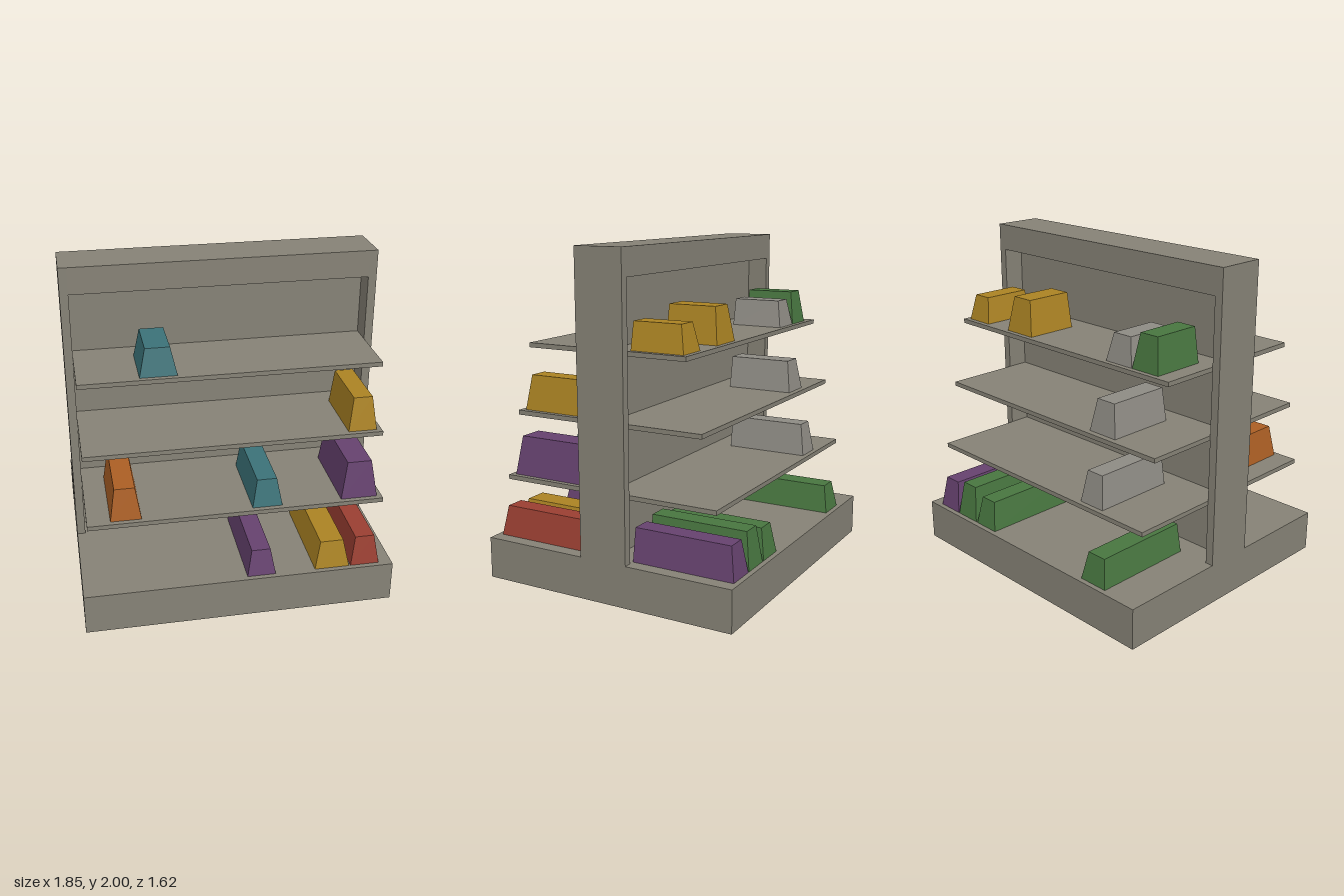
import * as THREE from 'three';

const material = (name, color) =>
  new THREE.MeshStandardMaterial({ name, color, side: THREE.DoubleSide });

export function createModel() {
  const group = new THREE.Group();
  const frame = material('frame grey', 0x868276);
  const colours = {
    teal: material('teal', 0x3b7278),
    gold: material('gold', 0xab8323),
    purple: material('purple', 0x66426f),
    orange: material('orange', 0xab5f24),
    red: material('red', 0x9a3f32),
    green: material('green', 0x487640),
    grey: material('light grey', 0x8e8b84),
  };

  const add = (name, geometry, mat) => {
    const mesh = new THREE.Mesh(geometry, mat);
    mesh.name = name;
    group.add(mesh);
    return mesh;
  };

  // Box by its size, bottom height and x; optionally open underneath
  const box = (name, w, h, d, y, x = 0, open = false) => {
    const g = new THREE.BoxGeometry(w, h, d);
    if (open) {
      const index = Array.from(g.index.array);
      index.splice(18, 6); // the downward face
      g.clearGroups();
      g.setIndex(index);
    }
    g.translate(x, y + h / 2, 0);
    return add(name, g, frame);
  };

  // Hollow plinth and the upright frame with its thin centre panel
  box('base', 1.85, 0.25, 1.62, 0, 0, true);
  for (const [name, s] of [['leftPost', 1], ['rightPost', -1]])
    box(name, 0.05, 2, 0.3, 0, s * 0.9, true);
  box('topRail', 1.75, 0.16, 0.3, 1.84);
  box('centrePanel', 1.75, 1.59, 0.04, 0.25);

  // Shelves get shallower towards the top
  [[0.62, 1.38], [1.02, 1.2], [1.42, 1.01]].forEach(([y, depth], i) =>
    box('shelf' + (i + 1), 1.75, 0.027, depth, y));

  // Goods: blocks narrowing upward on both sides and at the outer end
  const goods = (name, mat, x0, x1, y0, y1, reach, side) => {
    const h = y1 - y0, d = reach - 0.15, w = x1 - x0;
    const g = new THREE.BoxGeometry(w, h, d);
    const p = g.attributes.position;
    for (let i = 0; i < p.count; i++) {
      if (p.getY(i) < 0) continue;
      p.setX(i, p.getX(i) * 0.66);
      if (p.getZ(i) * side > 0) p.setZ(i, side * (d / 2 - 0.03));
    }
    g.translate((x0 + x1) / 2, y0 + h / 2, side * (0.15 + d / 2));
    const flat = g.toNonIndexed();
    flat.computeVertexNormals();
    add(name, flat, mat);
  };

  // Per row: side, floor height, reach, then [colour, x from, x to, top]
  const rows = [
    [1, 0.25, 0.78, [['purple', 0.04, 0.21, 0.41], ['gold', 0.45, 0.66, 0.42], ['red', 0.67, 0.845, 0.43]]],
    [1, 0.647, 0.66, [['orange', -0.74, -0.56, 0.84], ['teal', 0.09, 0.268, 0.815], ['purple', 0.625, 0.845, 0.875]]],
    [1, 1.047, 0.57, [['gold', 0.675, 0.845, 1.25]]],
    [1, 1.447, 0.475, [['teal', -0.525, -0.31, 1.61]]],
    [-1, 0.25, 0.78, [['green', -0.68, -0.49, 0.42], ['green', 0.295, 0.47, 0.43], ['green', 0.483, 0.66, 0.468], ['purple', 0.667, 0.845, 0.445]]],
    [-1, 0.647, 0.66, [['grey', -0.54, -0.365, 0.84]]],
    [-1, 1.047, 0.565, [['grey', -0.545, -0.345, 1.24]]],
    [-1, 1.447, 0.475, [['green', -0.775, -0.585, 1.65], ['grey', -0.58, -0.385, 1.61], ['gold', 0.25, 0.47, 1.66], ['gold', 0.662, 0.845, 1.605]]],
  ];
  for (const [side, y, reach, items] of rows)
    for (const [colour, x0, x1, top] of items)
      goods(colour + 'Goods', colours[colour], x0, x1, y, top, reach, side);

  return group;
}
